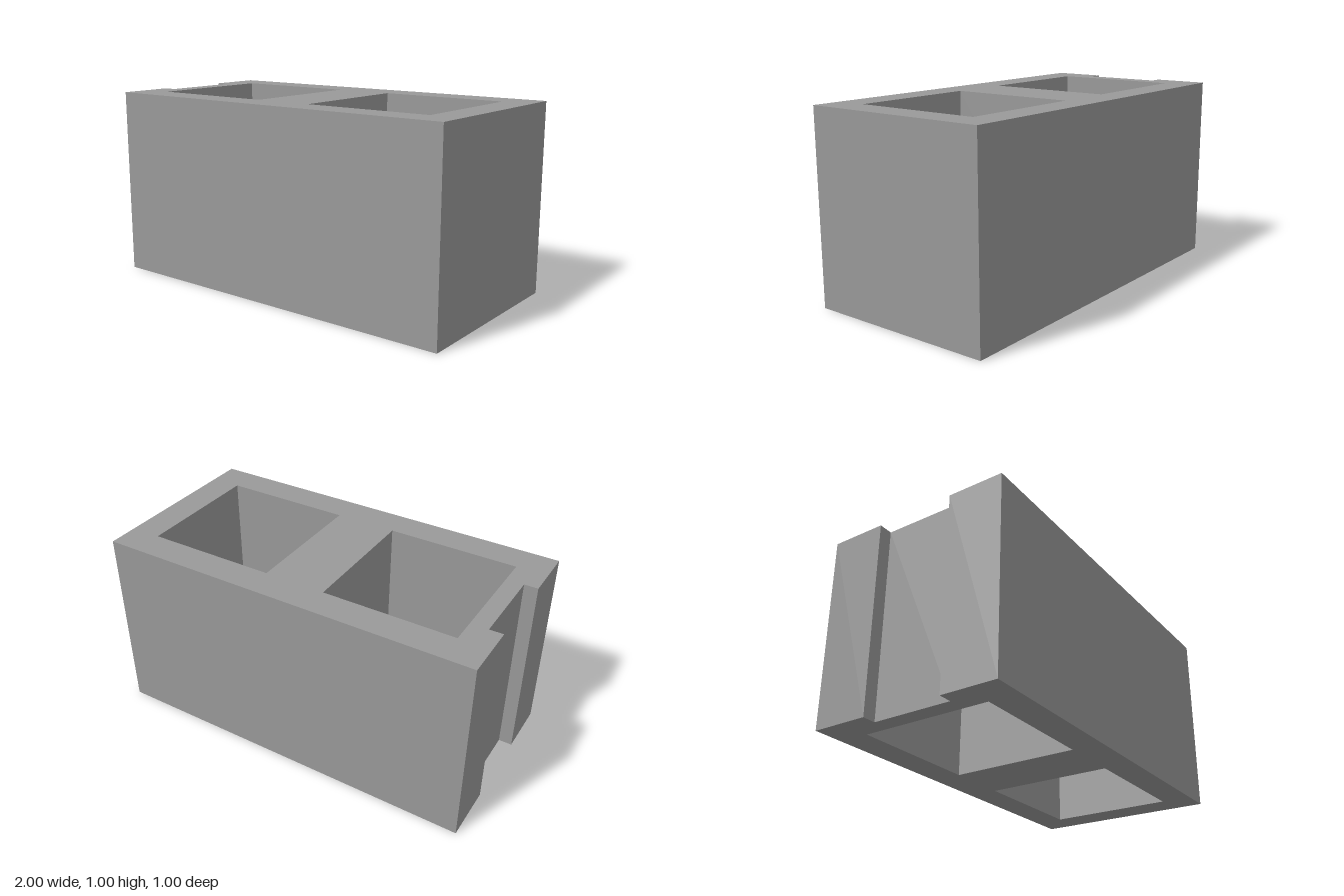
import * as THREE from 'three';

const HEIGHT = 1, HALF_X = 1, HALF_Z = 0.5;
const CORE = { inner: 0.16, outer: 0.84, halfZ: 0.34 };
const GROOVE = { depth: 0.07, halfZ: 0.21 };

const points = (list) => list.map(([x, z]) => new THREE.Vector2(x, z));

export function createModel() {
  const group = new THREE.Group();
  group.name = 'concreteBlock';
  const concrete = new THREE.MeshStandardMaterial({ color: 0x999999 });
  concrete.name = 'concrete grey';

  // Plan outline, with a mortar groove in the right end
  const grooveX = -HALF_X + GROOVE.depth;
  const plan = new THREE.Shape(points([
    [-HALF_X, -HALF_Z], [HALF_X, -HALF_Z], [HALF_X, HALF_Z], [-HALF_X, HALF_Z],
    [-HALF_X, GROOVE.halfZ], [grooveX, GROOVE.halfZ],
    [grooveX, -GROOVE.halfZ], [-HALF_X, -GROOVE.halfZ],
  ]));

  // Two square cores running right through the block
  for (const side of [-1, 1]) {
    const a = side * CORE.inner, b = side * CORE.outer, z = CORE.halfZ;
    plan.holes.push(new THREE.Path(points([[a, -z], [a, z], [b, z], [b, -z]])));
  }

  // Raise the plan to full height
  const geometry = new THREE.ExtrudeGeometry(plan, { depth: HEIGHT, bevelEnabled: false });
  geometry.rotateX(-Math.PI / 2);
  const body = new THREE.Mesh(geometry, concrete);
  body.name = 'blockBody';
  group.add(body);
  return group;
}
